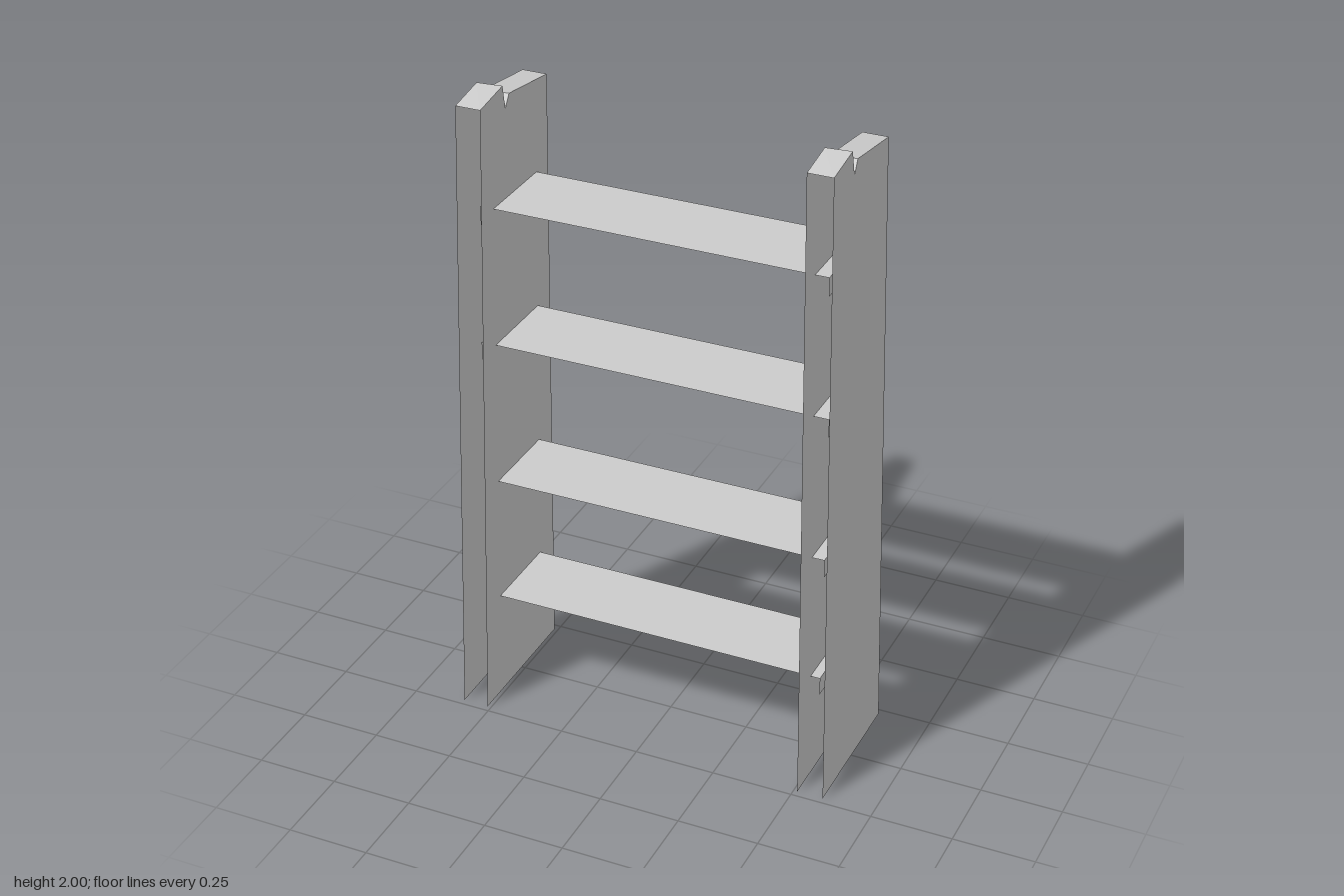
import * as THREE from 'three';

const material = new THREE.MeshStandardMaterial({ color: 0xcccccc, flatShading: true, side: THREE.DoubleSide });

// Hollow board left open at its front and underside. The profile is a list of
// [z, y] running front bottom, front top, ..., back top, back bottom.
// xAt(side, y) places the low-x (0) and high-x (1) panels.
function openBoard(name, profile, xAt, skew = () => 0) {
  const points = [0, 1].map(side => profile.map(([z, y], i) =>
    new THREE.Vector3(xAt(side, y), y, z + skew(i, side))));
  const [low, high] = points;
  const corners = [];

  // side panels
  const outline = profile.map(([z, y]) => new THREE.Vector2(z, y));
  for (const [a, b, c] of THREE.ShapeUtils.triangulateShape(outline, [])) {
    corners.push(low[a], low[b], low[c], high[a], high[c], high[b]);
  }
  // top and back strips
  for (let i = 1; i < profile.length - 1; i++) {
    corners.push(low[i], high[i], low[i + 1], high[i], high[i + 1], low[i + 1]);
  }

  const geometry = new THREE.BufferGeometry().setFromPoints(corners);
  geometry.computeVertexNormals();
  const mesh = new THREE.Mesh(geometry, material);
  mesh.name = name;
  return mesh;
}

export function createModel() {
  const model = new THREE.Group();
  model.name = 'ladder';

  // tapered side boards with a chipped, notched top
  const boardProfile = [
    [0.23, 0], [0.2, 1.98], [0.075, 2], [0.06, 1.925],
    [0.037, 1.963], [-0.203, 1.93], [-0.23, 0],
  ];
  const notchSkew = (i, side) => (i >= 2 && i <= 4 ? -0.008 * side : 0);
  const outerX = y => 0.592 - 0.019 * y;
  const innerX = y => 0.512 - 0.017 * y;
  model.add(openBoard('leftBoard', boardProfile,
    (side, y) => (side ? outerX(y) : innerX(y)), notchSkew));
  model.add(openBoard('rightBoard', boardProfile,
    (side, y) => (side ? -innerX(y) : -outerX(y)), notchSkew));

  // flat steps let into the boards: [bottom height, half length]
  const steps = [[0.292, 0.535], [0.7, 0.537], [1.16, 0.537], [1.595, 0.525]];
  const depth = 0.134, thickness = 0.058;
  steps.forEach(([y, half], i) => {
    const profile = [[depth, y], [depth, y + thickness], [-depth, y + thickness], [-depth, y]];
    model.add(openBoard(`step${i + 1}`, profile, side => (side ? half : -half)));
  });

  return model;
}
